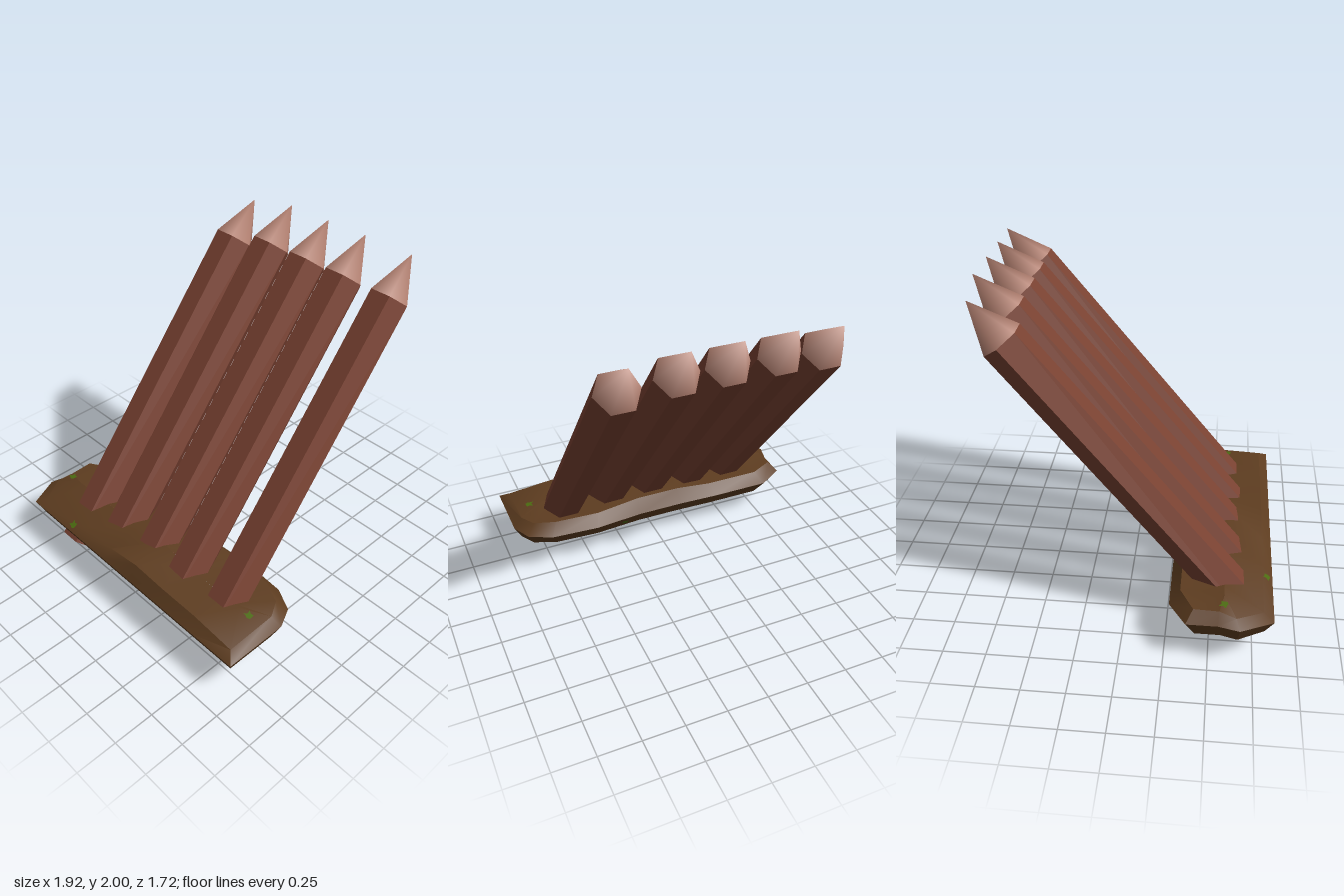
import * as THREE from 'three';
import { mergeVertices, toCreasedNormals } from 'three/addons/utils/BufferGeometryUtils.js';

const mat = (name, color, side = THREE.FrontSide) => {
  const m = new THREE.MeshStandardMaterial({ color, side });
  m.name = name;
  return m;
};

const TILT = -0.689, LENGTH = 2.444, TIP = 0.272, RADIUS = 0.127;

// Mound outline seen from above: x, z, height of the upper rim
const OUTLINE = [
  [-0.96, 0.67, 0.30], [-0.87, 0.86, 0.285], [-0.45, 0.86, 0.30], [-0.15, 0.86, 0.315],
  [0.1, 0.86, 0.35], [0.35, 0.86, 0.335], [0.65, 0.86, 0.33], [0.96, 0.86, 0.30],
  [0.96, 0.46, 0.315], [0.9, 0.34, 0.32], [0.76, 0.27, 0.33], [0.46, 0.25, 0.33],
  [0.15, 0.28, 0.35], [-0.15, 0.28, 0.35], [-0.4, 0.27, 0.33], [-0.77, 0.27, 0.33],
  [-0.93, 0.37, 0.325], [-0.93, 0.55, 0.32],
];

function moundGeometry() {
  const n = OUTLINE.length, pos = [], idx = [];
  // Rings from the open foot, over the widest rim, to the spine along the top
  const rings = [
    ([x, z]) => [x * 0.95, 0.16, 0.62 + (z - 0.62) * 0.8],
    ([x, z]) => [x, 0.26, z],
    ([x, z, y]) => [x * 0.94, y, 0.57 + (z - 0.57) * 0.8],
    ([x]) => [x * 0.78, 0.335 + 0.05 * Math.exp(-((x / 0.28) ** 2)), 0.58],
  ];
  for (const ring of rings) for (const p of OUTLINE) pos.push(...ring(p));
  for (let r = 0; r < rings.length - 1; r++) {
    for (let i = 0; i < n; i++) {
      const j = (i + 1) % n, a = r * n + i, b = r * n + j;
      idx.push(a, b, b + n, a, b + n, a + n);
    }
  }
  const g = new THREE.BufferGeometry();
  g.setAttribute('position', new THREE.Float32BufferAttribute(pos, 3));
  g.setIndex(idx);
  return toCreasedNormals(g, 0.6);
}

// Six-sided point with one smooth skin
function tipGeometry() {
  const g = new THREE.ConeGeometry(RADIUS, TIP, 6, 1, true, Math.PI / 6);
  g.deleteAttribute('normal');
  g.deleteAttribute('uv');
  const merged = mergeVertices(g);
  merged.computeVertexNormals();
  return merged;
}

// Small ragged patch lying in the XY plane
function mossGeometry() {
  const s = new THREE.Shape();
  for (let i = 0; i < 9; i++) {
    const a = (i / 9) * Math.PI * 2, r = 0.023 + 0.01 * Math.sin(i * 2.7);
    if (i) s.lineTo(Math.cos(a) * r, Math.sin(a) * r);
    else s.moveTo(r, 0);
  }
  return new THREE.ShapeGeometry(s);
}

export function createModel() {
  const model = new THREE.Group();
  model.name = 'stakeBarricade';
  const bark = mat('stake wood', 0x7a4232);
  const cut = mat('fresh cut wood', 0xb58272);
  const earth = mat('earth', 0x5e3d20, THREE.DoubleSide);
  const green = mat('moss', 0x4c6c10, THREE.DoubleSide);

  const add = (parent, name, geo, material) => {
    const m = new THREE.Mesh(geo, material);
    m.name = name;
    parent.add(m);
    return m;
  };

  // Leaning stakes: x, then y and z of the foot
  const shaftLength = LENGTH - TIP;
  const shaftGeo = new THREE.CylinderGeometry(RADIUS, RADIUS, shaftLength, 6, 1, false, Math.PI / 6).toNonIndexed();
  shaftGeo.computeVertexNormals();
  const tipGeo = tipGeometry();
  const feet = [
    [-0.553, 0.073, 0.745], [-0.27, 0.115, 0.71], [0.022, 0.115, 0.71],
    [0.3, 0.115, 0.71], [0.617, 0.1, 0.695],
  ];
  for (const [x, y, z] of feet) {
    const stake = new THREE.Group();
    stake.name = 'stake';
    stake.position.set(x, y, z);
    stake.rotation.x = TILT;
    add(stake, 'stakeShaft', shaftGeo, bark).position.y = shaftLength / 2;
    add(stake, 'stakeTip', tipGeo, cut).position.y = shaftLength + TIP / 2;
    model.add(stake);
  }

  // Earth mound, open underneath
  add(model, 'earthMound', moundGeometry(), earth);

  // Moss patches: position, facing direction
  const moss = mossGeometry();
  const patches = [
    [[-0.5, 0.286, 0.826], [0, 0.85, 0.5]],
    [[0.82, 0.336, 0.58], [0.1, 1, 0]],
    [[0.25, 0.21, 0.3], [0, -0.57, -0.82]],
    [[-0.83, 0.336, 0.58], [-0.1, 1, 0]],
  ];
  for (const [p, d] of patches) {
    const m = add(model, 'mossPatch', moss, green);
    m.position.set(...p);
    m.quaternion.setFromUnitVectors(new THREE.Vector3(0, 0, 1), new THREE.Vector3(...d).normalize());
  }
  return model;
}
